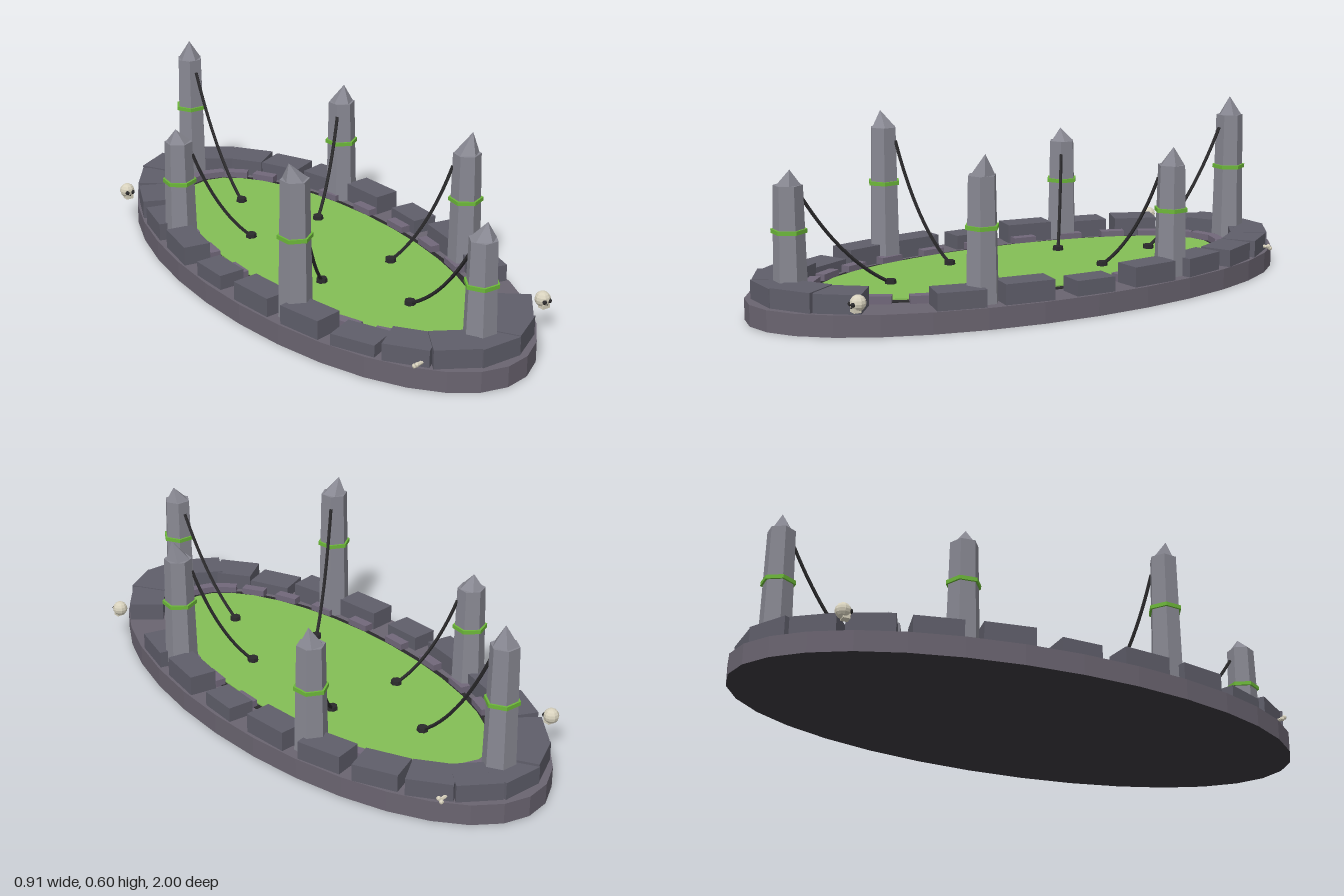
import * as THREE from 'three';

const mat = (color) => new THREE.MeshStandardMaterial({ color, flatShading: true });

export function createModel() {
  const model = new THREE.Group();
  const M = {
    base: mat(0x6a6470), under: mat(0x3a373d), block: mat(0x5f5e6a), kerb: mat(0x71687a),
    pillar: mat(0x888892), dark: mat(0x2b2a2c), pool: mat(0x84bf55), band: mat(0x6db83a), bone: mat(0xd8d2be),
  };
  const add = (name, geo, material, x = 0, y = 0, z = 0, parent = model) => {
    const mesh = new THREE.Mesh(geo, material);
    mesh.name = name;
    mesh.position.set(x, y, z);
    parent.add(mesh);
    return mesh;
  };
  let seed = 7;
  const rand = () => (seed = (seed * 16807) % 2147483647) / 2147483647;

  // Oval slab, dark lining and pool surface
  const oval = (name, rx, rz, y0, y1, m) =>
    add(name, new THREE.CylinderGeometry(1, 1, y1 - y0, 32).scale(rx, 1, rz), m, 0, (y0 + y1) / 2, 0);
  oval('baseSlab', 0.455, 1, 0, 0.07, [M.base, M.base, M.under]);
  oval('poolLining', 0.33, 0.79, 0.06, 0.073, M.dark);
  oval('poolSurface', 0.308, 0.757, 0.06, 0.077, M.pool);

  // Stone laid along an ellipse, turned to its tangent
  const stone = (name, a, rx, rz, len, depth, top, m) => {
    const h = top - 0.06;
    const s = add(name, new THREE.BoxGeometry(len, h, depth), m, rx * Math.cos(a), 0.06 + h / 2, rz * Math.sin(a));
    s.rotation.y = Math.atan2(-rz * Math.cos(a), -rx * Math.sin(a));
    return s;
  };

  // Outer ring of rough blocks, with one missing and one sunken
  for (let i = 0; i < 24; i++) {
    if (i === 3) continue;
    const a = (i / 24) * Math.PI * 2;
    const end = Math.abs(Math.sin(a));
    const top = i === 9 ? 0.11 : i % 12 === 0 ? 0.12 : 0.124 + rand() * 0.014;
    const len = i % 12 === 0 ? 0.14 : 0.175 - 0.03 * end;
    const b = stone('rimBlock', a, 0.398, 0.9, len, 0.09 + 0.04 * end * end, top, M.block);
    b.rotation.y += (rand() - 0.5) * 0.08;
  }
  // Inner ring of low kerb stones
  for (let i = 0; i < 26; i++) {
    stone('kerbStone', (i / 26) * Math.PI * 2, 0.332, 0.787, 0.085, 0.035, 0.095, M.kerb);
  }

  // Pillars: x, z, body top, tip height, tip offset, band height, chain anchor x, z
  const pillars = [
    [0, 0.86, 0.435, 0.485, 0.015, 0.29, 0, 0.51],
    [0, -0.86, 0.53, 0.595, 0, 0.343, 0, -0.51],
    [-0.338, 0.36, 0.535, 0.59, -0.022, 0.345, -0.14, 0.215],
    [0.338, 0.36, 0.472, 0.54, 0.022, 0.31, 0.14, 0.215],
    [-0.338, -0.36, 0.43, 0.475, -0.01, 0.288, -0.14, -0.22],
    [0.338, -0.36, 0.44, 0.5, 0.01, 0.291, 0.14, -0.22],
  ];
  pillars.forEach(([x, z, top, tip, lean, bandY, ax, az], i) => {
    const g = new THREE.Group();
    g.name = 'pillar';
    g.position.set(x, 0, z);
    model.add(g);
    const shaft = new THREE.Group();
    shaft.rotation.y = i < 2 ? Math.PI / 6 : Math.atan2(ax - x, az - z);
    g.add(shaft);
    add('pillarShaft', new THREE.CylinderGeometry(0.047, 0.056, top - 0.06, 6), M.pillar, 0, (top + 0.06) / 2, 0, shaft);
    add('glowBand', new THREE.CylinderGeometry(0.058, 0.058, 0.013, 6), M.band, 0, bandY, 0, shaft);

    // Crooked pointed cap
    const h = tip - top;
    const cap = new THREE.ConeGeometry(0.042, h, 5);
    const p = cap.attributes.position;
    for (let k = 0; k < p.count; k++) if (p.getY(k) > 0) p.setX(k, p.getX(k) + lean);
    add('pillarCap', cap, M.pillar, 0, top + h / 2, 0, g);

    // Sagging chain to an anchor in the pool
    const dir = new THREE.Vector3(ax - x, 0, az - z);
    const at = (t, y) => new THREE.Vector3(x, y, z).addScaledVector(dir, t);
    const hi = top - 0.045;
    const start = 0.045 / dir.length();
    const curve = new THREE.QuadraticBezierCurve3(at(start, hi), at(0.52, 0.08 + (hi - 0.08) * 0.28), at(1, 0.08));
    add('chain', new THREE.TubeGeometry(curve, 14, 0.006, 5), M.dark);
    add('chainAnchor', new THREE.CylinderGeometry(0.018, 0.02, 0.018, 7), M.dark, ax, 0.082, az);
  });

  // Skulls at two corners
  for (const [x, z] of [[0.32, 0.78], [-0.34, -0.75]]) {
    const g = new THREE.Group();
    g.name = 'skull';
    g.position.set(x, 0.117, z);
    model.add(g);
    add('cranium', new THREE.SphereGeometry(0.026, 10, 8), M.bone, 0, 0, 0, g);
    add('jaw', new THREE.BoxGeometry(0.028, 0.016, 0.024), M.bone, 0, -0.02, 0.008, g);
    for (const s of [-1, 1]) add('eyeSocket', new THREE.SphereGeometry(0.008, 7, 5), M.dark, s * 0.01, -0.002, 0.021, g);
    add('noseHole', new THREE.ConeGeometry(0.003, 0.007, 3), M.dark, 0, -0.011, 0.023, g);
  }

  // Loose bones
  for (const s of [-1, 1]) {
    const g = new THREE.Group();
    g.name = 'bone';
    g.position.set(s * 0.215, 0.085, -s * 0.855);
    g.rotation.y = 0.2;
    model.add(g);
    add('boneShaft', new THREE.CylinderGeometry(0.006, 0.006, 0.055, 6).rotateZ(Math.PI / 2), M.bone, 0, 0, 0, g);
    for (const e of [-1, 1]) for (const k of [-1, 1])
      add('boneKnob', new THREE.SphereGeometry(0.008, 6, 5), M.bone, e * 0.028, k * 0.004, k * 0.005, g);
  }
  return model;
}
